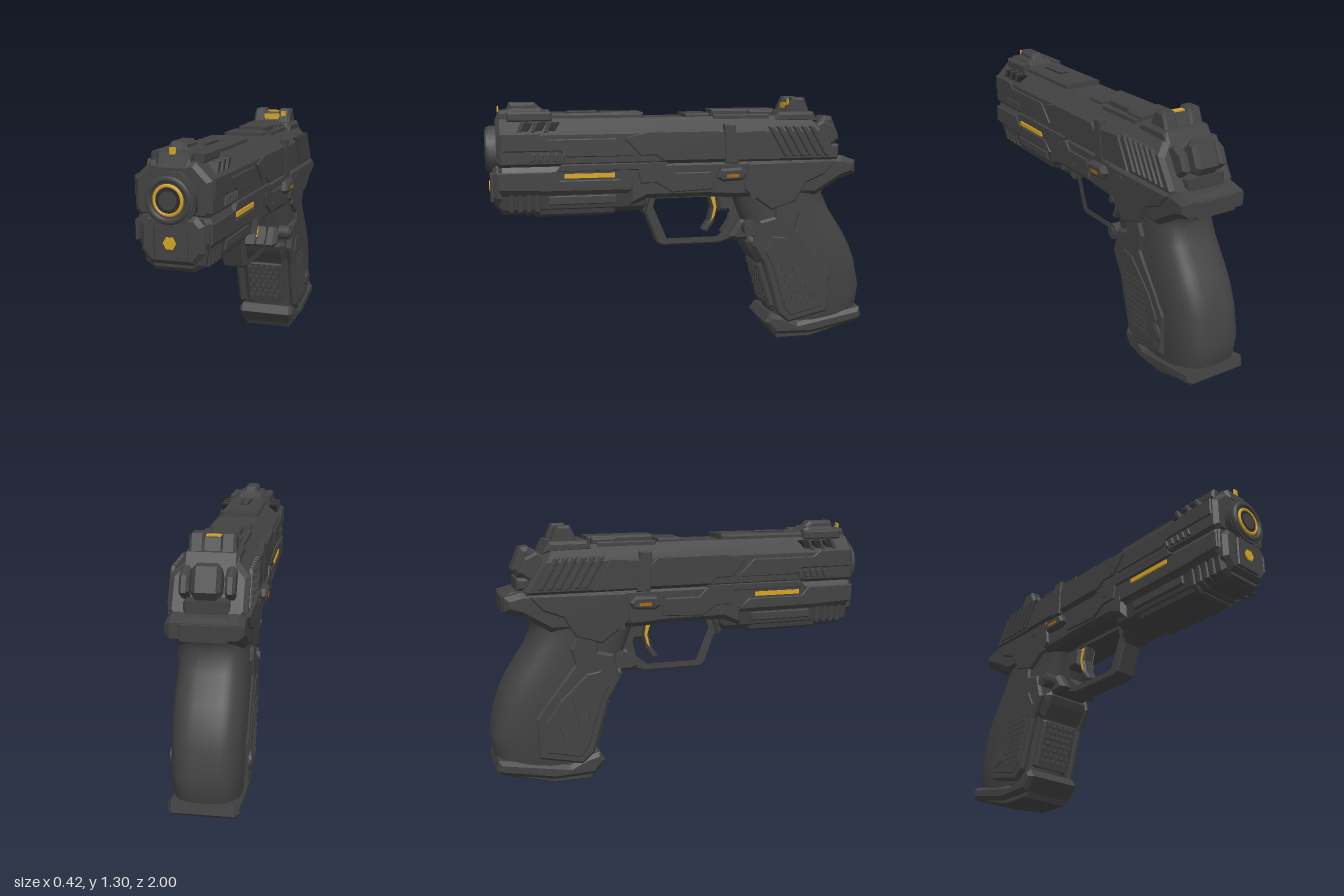
import * as THREE from 'three';
import { mergeGeometries } from 'three/addons/utils/BufferGeometryUtils.js';

export function createModel() {
  const model = new THREE.Group();
  const flat = (name, color) => Object.assign(new THREE.MeshStandardMaterial({ color }), { name });
  const body = flat('gunmetal', 0x424242);
  const recess = flat('recess', 0x2b2b2b);
  const gold = flat('gold', 0xd6a520);
  const amber = flat('amber', 0xa8660f);

  const add = (name, geo, mat = body) => {
    const mesh = new THREE.Mesh(geo, mat);
    mesh.name = name;
    model.add(mesh);
    return mesh;
  };
  const toPoints = (pts) => pts.map(([a, b]) => new THREE.Vector2(a, b));
  const extrude = (pts, depth, b, hole) => {
    const shape = new THREE.Shape(toPoints(pts));
    if (hole) shape.holes.push(new THREE.Path(toPoints(hole)));
    return new THREE.ExtrudeGeometry(shape, {
      depth: depth - 2 * b, bevelEnabled: b > 0, bevelThickness: b, bevelSize: b, bevelOffset: -b, bevelSegments: 1,
    }).translate(0, 0, b - depth / 2);
  };

  // Side profile of [z, y] points, extruded across x
  const slab = (name, pts, width, bevel = 0.015, mat = body, x = 0, hole = null) =>
    add(name, extrude(pts, width, bevel, hole).rotateY(-Math.PI / 2).translate(x, 0, 0), mat);
  // The same plate on both sides, between x0 and x1
  const pair = (name, pts, x0, x1, bevel = 0.005, mat = body) => {
    for (const s of [1, -1]) slab(name, pts, x1 - x0, bevel, mat, s * (x0 + x1) / 2);
  };
  const rect = (z0, z1, y0, y1, lean = 0) => [[z0, y0], [z1, y0], [z1 + lean, y1], [z0 + lean, y1]];
  // Half cross-section of [x, y] points, mirrored and extruded along z
  const section = (name, half, z0, z1, bevel = 0.02, rearLean = 0) => {
    const pts = [...half, ...half.map(([x, y]) => [-x, y]).reverse()];
    const geo = extrude(pts, z1 - z0, bevel).translate(0, 0, (z0 + z1) / 2);
    const p = geo.attributes.position;
    for (let i = 0; i < p.count; i++)
      if (p.getZ(i) < (z0 + z1) / 2) p.setZ(i, p.getZ(i) + (p.getY(i) - half[0][1]) * rearLean);
    geo.computeVertexNormals();
    add(name, geo);
  };
  const box = (name, x, y, z, w, h, d, mat = body) =>
    slab(name, rect(z - d / 2, z + d / 2, y - h / 2, y + h / 2), w, Math.min(w, h, d) * 0.2, mat, x);
  const disc = (name, r, depth, x, y, z, axis, mat = body, sides = 20) => {
    const geo = new THREE.CylinderGeometry(r, r, depth, sides);
    if (axis === 'x') geo.rotateZ(Math.PI / 2);
    else geo.rotateY(Math.PI / sides).rotateX(Math.PI / 2);
    add(name, geo.translate(x, y, z), mat);
  };

  // Slide with sloped rear, and raised side panels
  section('slide', [[0.15, 0.965], [0.175, 0.99], [0.175, 1.13], [0.1, 1.205]], -0.84, 0.945, 0.02, 0.65);
  pair('slideFrontPanel', [[0.92, 1.05], [0.92, 1.14], [0.74, 1.14], [0.7, 1.11], [0.36, 1.11], [0.27, 1.02], [0.6, 1.02], [0.64, 1.05]], 0.165, 0.183);
  pair('slideMiddlePanel', [[0.32, 1.11], [0.2, 1.14], [-0.16, 1.14], [-0.2, 1.1], [-0.2, 0.99], [0.12, 0.99], [0.16, 1.02], [0.24, 1.02]], 0.165, 0.184);
  pair('slideRearPanel', [[-0.26, 0.985], [-0.24, 1.13], [-0.4, 1.14], [-0.49, 0.985]], 0.165, 0.184);
  pair('slideBand', [[-0.2, 0.97], [-0.19, 1.17], [-0.25, 1.17], [-0.27, 0.97]], 0.15, 0.187);
  for (let i = 0; i < 6; i++)
    pair('rearSerration', rect(-0.545 - i * 0.044, -0.517 - i * 0.044, 1.0, 1.155, 0.09), 0.16, 0.186, 0.006);
  for (let i = 0; i < 3; i++) {
    pair('frontVent', rect(0.79 - i * 0.065, 0.825 - i * 0.065, 1.148, 1.19, -0.025), 0.115, 0.158, 0.003, recess);
    pair('ventRib', rect(0.825 - i * 0.065, 0.845 - i * 0.065, 1.14, 1.195, -0.025), 0.115, 0.165, 0.003);
  }
  for (let i = 0; i < 5; i++) pair('lowerRib', rect(0.62 + i * 0.036, 0.642 + i * 0.036, 1.0, 1.04, -0.012), 0.165, 0.186, 0.004);

  // Top of slide: stepped covers, rail and slot
  box('topRail', 0, 1.205, 0.46, 0.2, 0.05, 0.5);
  box('topRailCap', 0, 1.226, 0.32, 0.13, 0.014, 0.2);
  box('topSlot', 0, 1.23, 0.51, 0.05, 0.008, 0.18, recess);
  box('topSlotInsert', 0, 1.232, 0.51, 0.032, 0.012, 0.15);
  box('ejectionCover', 0, 1.185, 0.1, 0.22, 0.03, 0.2);
  box('topStep', 0, 1.205, -0.07, 0.2, 0.035, 0.13);
  box('topSpine', 0, 1.215, -0.32, 0.14, 0.05, 0.34);
  box('topSpineHead', 0, 1.21, -0.41, 0.19, 0.05, 0.13);
  for (const s of [1, -1]) box('topSideStrip', s * 0.1, 1.2, -0.3, 0.025, 0.03, 0.3);

  // Front sight
  slab('frontSightBase', [[0.95, 1.18], [0.93, 1.24], [0.86, 1.255], [0.72, 1.255], [0.64, 1.2]], 0.15);
  slab('frontSight', [[0.9, 1.22], [0.875, 1.282], [0.75, 1.282], [0.69, 1.23]], 0.08);
  box('frontSightDot', 0, 1.25, 0.93, 0.028, 0.03, 0.009, gold);
  for (const s of [1, -1]) box('sightShoulder', s * 0.095, 1.215, 0.78, 0.05, 0.05, 0.22);

  // Rear sight: base with notch between two posts
  slab('rearSightBase', [[-0.47, 1.18], [-0.5, 1.225], [-0.69, 1.225], [-0.72, 1.17]], 0.25);
  for (const s of [1, -1]) slab('rearSightPost', [[-0.54, 1.21], [-0.58, 1.298], [-0.645, 1.298], [-0.68, 1.21]], 0.07, 0.012, body, s * 0.07);
  slab('rearSightBridge', [[-0.55, 1.21], [-0.585, 1.28], [-0.64, 1.28], [-0.67, 1.21]], 0.1, 0.005);
  box('rearSightGlow', 0, 1.283, -0.61, 0.07, 0.008, 0.03, gold);
  box('rearSightWindow', 0, 1.255, -0.565, 0.09, 0.03, 0.009, gold);
  box('rearSightDot', 0.067, 1.272, -0.565, 0.028, 0.028, 0.009, gold);

  // Muzzle
  disc('muzzleHousing', 0.125, 0.06, 0, 1.05, 0.95, 'z', body, 8);
  disc('muzzleRim', 0.113, 0.03, 0, 1.05, 0.975, 'z', body, 24);
  add('muzzleRing', new THREE.TorusGeometry(0.09, 0.016, 8, 28).translate(0, 1.05, 0.984));
  add('muzzleGlow', new THREE.TorusGeometry(0.062, 0.009, 6, 28).translate(0, 1.05, 0.989), gold);
  disc('muzzleRecess', 0.056, 0.006, 0, 1.05, 0.99, 'z', recess);
  disc('barrelPlug', 0.04, 0.008, 0, 1.05, 0.993, 'z');

  // Front of frame
  section('dustCover', [[0.09, 0.73], [0.135, 0.76], [0.15, 0.83], [0.172, 0.86], [0.172, 0.95], [0.15, 0.99]], 0.2, 0.94);
  section('frameNose', [[0.1, 0.765], [0.145, 0.82], [0.145, 0.94], [0.11, 0.98]], 0.88, 0.965);
  box('lampHousing', 0, 0.865, 0.965, 0.15, 0.15, 0.03);
  disc('lamp', 0.03, 0.009, 0, 0.865, 0.981, 'z', gold, 6);
  section('underRail', [[0.08, 0.712], [0.12, 0.73], [0.135, 0.79]], 0.36, 0.77, 0.012);
  for (let i = 0; i < 4; i++)
    section('noseRib', [[0.1, 0.715 + i * 0.008], [0.145, 0.75], [0.155, 0.84]], 0.74 + i * 0.042, 0.766 + i * 0.042, 0.006);
  pair('dustPanel', [[0.94, 0.86], [0.94, 0.95], [0.68, 0.95], [0.64, 0.905], [0.34, 0.905], [0.28, 0.85], [0.7, 0.85]], 0.16, 0.178);
  pair('dustUpperPanel', [[0.66, 0.95], [0.63, 0.985], [0.1, 0.985], [0.13, 0.95]], 0.155, 0.183);
  pair('lowerPanel', rect(0.36, 0.7, 0.78, 0.825), 0.13, 0.156);
  pair('sideGlow', rect(0.37, 0.62, 0.916, 0.938), 0.174, 0.182, 0, gold);

  // Middle and rear of frame
  slab('frame', [[0.3, 0.99], [-0.84, 0.99], [-0.92, 0.97], [-0.92, 0.9], [-0.84, 0.875], [-0.7, 0.79], [-0.24, 0.79], [-0.1, 0.8], [0.2, 0.8], [0.3, 0.76]], 0.345, 0.025);
  pair('framePanel', [[0.26, 0.97], [0.1, 0.97], [0.06, 0.93], [-0.12, 0.93], [-0.14, 0.84], [0.08, 0.83], [0.16, 0.88], [0.24, 0.88]], 0.165, 0.183);
  for (const [z, y] of [[0.17, 0.93], [0.02, 0.86], [-0.35, 0.8], [-0.43, 0.93]])
    for (const s of [1, -1]) disc('pin', 0.018, 0.014, s * 0.18, y, z, 'x', body, 12);
  pair('slideCatch', [[-0.15, 0.9], [-0.17, 0.945], [-0.28, 0.95], [-0.31, 0.92], [-0.29, 0.885], [-0.18, 0.88]], 0.16, 0.208, 0.012);
  pair('catchLight', rect(-0.265, -0.2, 0.902, 0.918), 0.204, 0.21, 0, amber);
  pair('rearFramePanel', [[-0.32, 0.97], [-0.8, 0.97], [-0.74, 0.9], [-0.64, 0.86], [-0.58, 0.76], [-0.45, 0.72], [-0.3, 0.83]], 0.16, 0.183, 0.008);
  slab('beavertail', [[-0.76, 0.995], [-0.88, 0.985], [-0.925, 0.965], [-0.925, 0.89], [-0.86, 0.875], [-0.76, 0.9]], 0.26, 0.03);

  // Hammer and rear plate
  slab('hammer', [[-0.7, 1.12], [-0.78, 1.2], [-0.82, 1.195], [-0.865, 1.09], [-0.84, 1.05], [-0.74, 1.04]], 0.13, 0.02);
  for (const s of [1, -1]) slab('hammerEar', [[-0.68, 1.14], [-0.75, 1.18], [-0.81, 1.15], [-0.84, 1.08], [-0.78, 1.03], [-0.7, 1.03]], 0.045, 0.012, body, s * 0.1);
  box('rearPlate', 0, 1.02, -0.81, 0.2, 0.06, 0.08);

  // Trigger guard and trigger
  slab('triggerGuard', [[0.25, 0.82], [0.24, 0.74], [0.19, 0.69], [0.135, 0.545], [0.11, 0.53], [-0.2, 0.53], [-0.275, 0.555], [-0.36, 0.58], [-0.36, 0.82]], 0.12, 0.008, body, 0,
    [[0.15, 0.79], [0.165, 0.74], [0.09, 0.56], [-0.19, 0.56], [-0.25, 0.61], [-0.27, 0.69], [-0.24, 0.79]]);
  slab('guardLip', [[0.25, 0.8], [0.24, 0.73], [0.2, 0.7], [0.17, 0.8]], 0.18);
  slab('guardRear', [[-0.24, 0.57], [-0.3, 0.66], [-0.4, 0.66], [-0.38, 0.55], [-0.28, 0.55]], 0.23, 0.02);
  slab('trigger', [[-0.14, 0.82], [-0.165, 0.72], [-0.15, 0.65], [-0.115, 0.6], [-0.14, 0.585], [-0.18, 0.64], [-0.2, 0.72], [-0.19, 0.82]], 0.07, 0.008);
  pair('triggerInlay', [[-0.155, 0.79], [-0.176, 0.72], [-0.162, 0.65], [-0.145, 0.635], [-0.178, 0.67], [-0.19, 0.72], [-0.178, 0.79]], 0.033, 0.039, 0, gold);
  slab('triggerBlock', [[-0.18, 0.82], [-0.2, 0.7], [-0.28, 0.7], [-0.28, 0.82]], 0.1);

  // Grip core, lofted through rounded sections: y, front z, back z, half width
  const rings = [[0.1, -0.49, -0.965, 0.15], [0.18, -0.475, -0.99, 0.16], [0.27, -0.45, -1.0, 0.166], [0.41, -0.405, -0.97, 0.17],
    [0.5, -0.365, -0.935, 0.17], [0.58, -0.335, -0.89, 0.168], [0.7, -0.295, -0.81, 0.164], [0.79, -0.26, -0.77, 0.163], [0.85, -0.23, -0.79, 0.163], [0.92, -0.2, -0.85, 0.16]];
  const N = 48, pos = [], idx = [];
  const round = (v) => Math.sign(v) * Math.abs(v) ** 0.6;
  rings.forEach(([y, zf, zb, w], r) => {
    for (let i = 0; i < N; i++) {
      const t = (i / N) * Math.PI * 2;
      pos.push(w * round(Math.cos(t)), y, (zf + zb) / 2 + (zf - zb) / 2 * round(Math.sin(t)));
      if (r === 0) continue;
      const a = (r - 1) * N + i, b = (r - 1) * N + (i + 1) % N;
      idx.push(a, a + N, b, b, a + N, b + N);
    }
  });
  const grip = new THREE.BufferGeometry();
  grip.setAttribute('position', new THREE.Float32BufferAttribute(pos, 3));
  grip.setIndex(idx);
  grip.computeVertexNormals();
  add('grip', grip);

  // Grip side panels, front strap and textured studs
  pair('gripPanel', [[-0.355, 0.53], [-0.39, 0.66], [-0.47, 0.68], [-0.47, 0.78], [-0.56, 0.8], [-0.61, 0.7], [-0.59, 0.62], [-0.72, 0.46], [-0.79, 0.36], [-0.78, 0.15], [-0.56, 0.1], [-0.5, 0.15], [-0.42, 0.42]], 0.14, 0.178, 0.012);
  pair('gripInset', [[-0.42, 0.5], [-0.46, 0.58], [-0.53, 0.57], [-0.67, 0.44], [-0.745, 0.33], [-0.74, 0.18], [-0.57, 0.14], [-0.53, 0.19], [-0.46, 0.42]], 0.165, 0.183, 0.005);
  slab('frontStrap', [[-0.35, 0.52], [-0.4, 0.42], [-0.395, 0.41], [-0.465, 0.17], [-0.6, 0.17], [-0.5, 0.52]], 0.22, 0.012);
  slab('strapCap', [[-0.33, 0.54], [-0.35, 0.5], [-0.395, 0.43], [-0.52, 0.43], [-0.5, 0.56], [-0.34, 0.57]], 0.28, 0.025);
  const studs = [];
  for (let r = 0; r < 9; r++) {
    const y = 0.21 + r * 0.031, off = (r % 2) * 0.016;
    for (let c = 0; c < 5; c++) for (const s of [1, -1])
      studs.push(new THREE.BoxGeometry(0.006, 0.02, 0.022).translate(s * 0.184, y, -0.545 + (y - 0.21) * 0.3 - off - c * 0.032));
    if (y < 0.4) for (let c = -2; c <= 2; c++)
      studs.push(new THREE.BoxGeometry(0.022, 0.02, 0.01).translate(c * 0.036 + off - 0.008, y, -0.465 + (y - 0.17) * 0.292));
  }
  add('gripStuds', mergeGeometries(studs));
  for (const s of [1, -1]) {
    disc('gripButtonRim', 0.048, 0.012, s * 0.183, 0.255, -0.73, 'x');
    disc('gripButton', 0.034, 0.016, s * 0.184, 0.255, -0.73, 'x', body, 16);
    disc('magazineRelease', 0.04, 0.06, s * 0.145, 0.625, -0.345, 'x');
    disc('magazineReleaseCap', 0.025, 0.07, s * 0.148, 0.625, -0.345, 'x', body, 12);
  }

  // Magazine base
  slab('magazineBase', [[-0.435, 0.1], [-0.465, 0.145], [-0.53, 0.13], [-0.62, 0.09], [-0.98, 0.155], [-0.99, 0.1], [-0.97, 0.08], [-0.7, 0.025], [-0.49, 0.03]], 0.325, 0.02);
  slab('magazineFoot', [[-0.46, 0.09], [-0.51, 0], [-0.7, 0], [-0.95, 0.07], [-0.95, 0.1]], 0.27, 0.008);

  return model;
}
